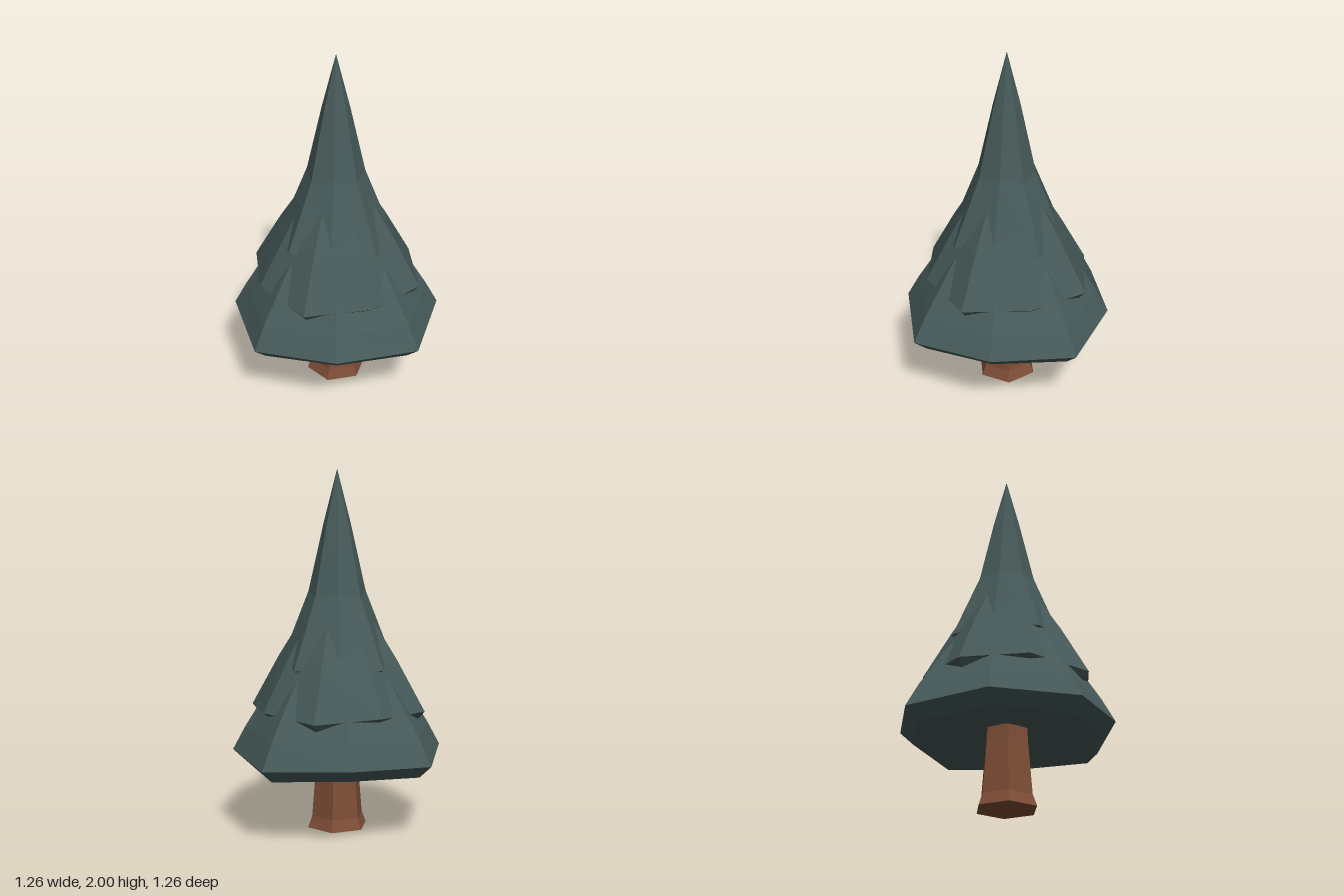
import * as THREE from 'three';

const RAD = Math.PI / 180;

// Faceted loft: each ring is [radius, y, oddRadius, oddY]; odd corners may differ from even ones.
function loft(rings, sides, startDeg) {
  const point = ([r, y, r2 = r, y2 = y], i) => {
    const a = (startDeg + (i * 360) / sides) * RAD;
    const odd = i % 2 === 1;
    const radius = odd ? r2 : r;
    return [radius * Math.cos(a), odd ? y2 : y, radius * Math.sin(a)];
  };
  const pos = [];
  for (let k = 0; k < rings.length - 1; k++) {
    for (let i = 0; i < sides; i++) {
      const a = point(rings[k], i), b = point(rings[k], i + 1);
      const c = point(rings[k + 1], i + 1), d = point(rings[k + 1], i);
      if (rings[k + 1][0] > 0) pos.push(...a, ...d, ...c);
      else pos.push(...a, ...d, ...b);
      if (rings[k][0] > 0 && rings[k + 1][0] > 0) pos.push(...a, ...c, ...b);
    }
  }
  const geo = new THREE.BufferGeometry();
  geo.setAttribute('position', new THREE.Float32BufferAttribute(pos, 3));
  geo.computeVertexNormals();
  return geo;
}

export function createModel() {
  const tree = new THREE.Group();
  tree.name = 'pineTree';
  const needles = new THREE.MeshStandardMaterial({ color: 0x465a59 });
  needles.name = 'needleGreen';
  const bark = new THREE.MeshStandardMaterial({ color: 0x7e4e37 });
  bark.name = 'barkBrown';

  const add = (name, geo, mat) => {
    const mesh = new THREE.Mesh(geo, mat);
    mesh.name = name;
    tree.add(mesh);
  };

  // Six-sided trunk with a flared foot
  add('trunk', loft([[0, 0], [0.174, 0], [0.15, 0.065], [0.125, 0.365], [0.12, 0.5], [0, 0.5]], 6, 97), bark);

  // Eight-sided skirts of branches, each turned a little; rings run from the underside up to the tip
  add('lowerBranches', loft([
    [0, 0.45], [0.56, 0.365, 0.51, 0.385], [0.635, 0.435, 0.585, 0.455],
    [0.56, 0.57, 0.515, 0.585], [0.4, 0.805, 0.37, 0.815], [0, 1.35],
  ], 8, 5.4), needles);
  add('middleBranches', loft([
    [0, 0.74], [0.46, 0.635, 0.43, 0.665], [0.497, 0.678, 0.465, 0.695],
    [0.34, 0.96, 0.315, 0.97], [0, 1.5],
  ], 8, -18.8), needles);
  add('upperBranches', loft([
    [0, 0.98], [0.31, 0.905, 0.285, 0.92], [0.34, 0.925, 0.312, 0.94],
    [0.175, 1.31, 0.158, 1.335], [0.085, 1.69, 0.076, 1.7], [0, 2],
  ], 8, 10.3), needles);

  return tree;
}
